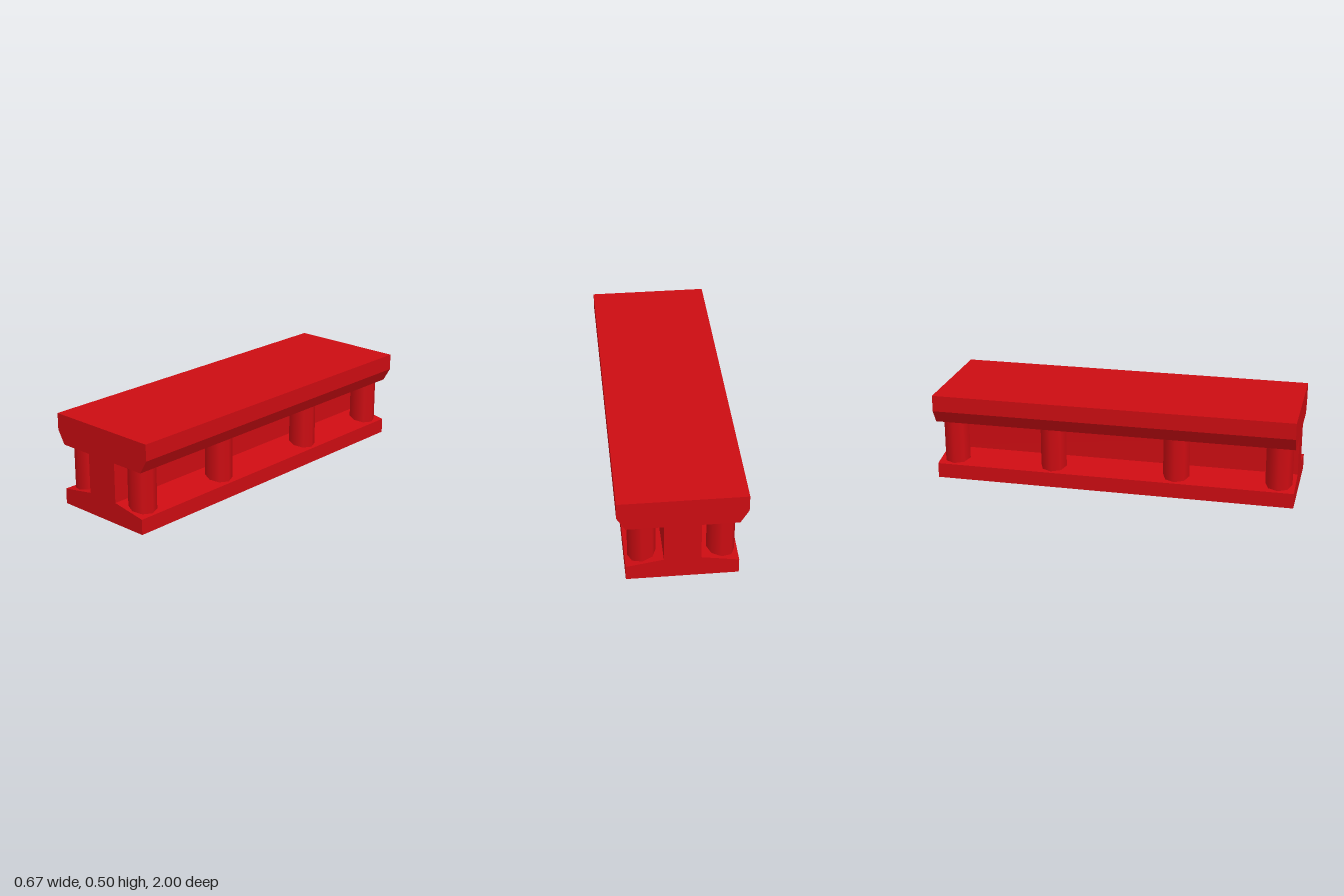
import * as THREE from 'three';

export function createModel() {
  const group = new THREE.Group();
  const red = new THREE.MeshStandardMaterial({ color: 0xcc0c12 });

  // I-shaped beam: right half of the section, mirrored, extruded along z
  const half = [
    [0.292, 0], [0.292, 0.084], [0.096, 0.117], [0.096, 0.335],
    [0.289, 0.335], [0.333, 0.41], [0.333, 0.5],
  ];
  const outline = [...half, ...half.map(([x, y]) => [-x, y]).reverse()];
  const section = new THREE.Shape(outline.map(([x, y]) => new THREE.Vector2(x, y)));
  const beamGeometry = new THREE.ExtrudeGeometry(section, { depth: 2, bevelEnabled: false });
  beamGeometry.translate(0, 0, -1);
  const beam = new THREE.Mesh(beamGeometry, red);
  beam.name = 'beam';
  group.add(beam);

  // Columns along both sides, sunk into the sloping foot
  const bottom = 0.08, top = 0.34;
  const columnGeometry = new THREE.CylinderGeometry(0.0735, 0.0735, top - bottom, 8);
  for (const side of [-1, 1]) {
    for (const z of [-0.91, -0.347, 0.347, 0.91]) {
      const column = new THREE.Mesh(columnGeometry, red);
      column.name = side > 0 ? 'leftColumn' : 'rightColumn';
      column.position.set(side * 0.204, (top + bottom) / 2, z);
      group.add(column);
    }
  }
  return group;
}
